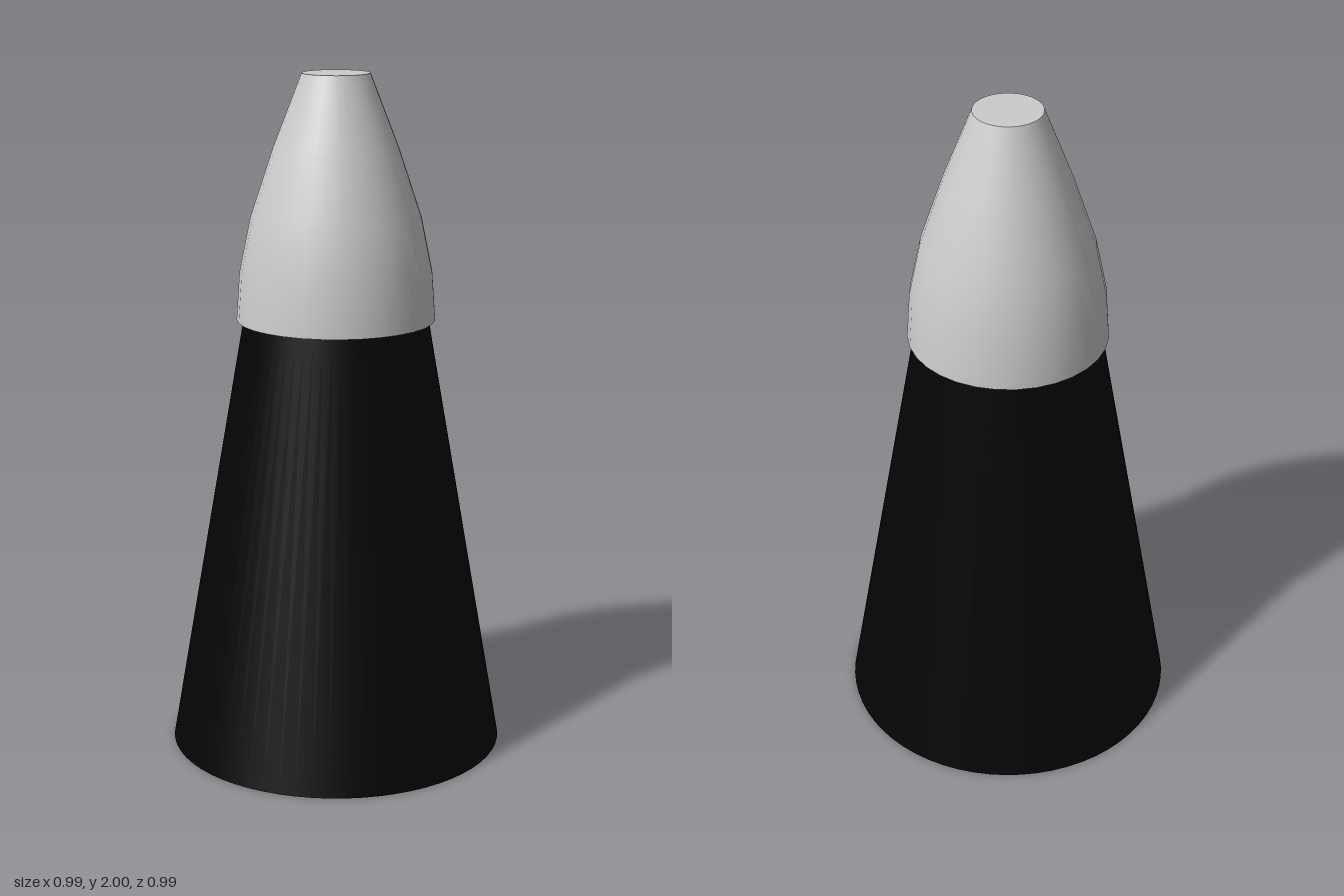
import * as THREE from 'three';

export function createModel() {
  const model = new THREE.Group();
  const black = new THREE.MeshStandardMaterial({ color: 0x050505 });
  const grey = new THREE.MeshStandardMaterial({ color: 0xcccccc });

  const add = (parent, name, geometry, material, y = 0, tilt = 0) => {
    const mesh = new THREE.Mesh(geometry, material);
    mesh.name = name;
    mesh.position.y = y;
    mesh.rotation.x = tilt;
    parent.add(mesh);
  };

  // Tapered body, standing on its wide end
  const seam = 1.29;
  add(model, 'body', new THREE.CylinderGeometry(0.27, 0.495, seam, 64), black, seam / 2);

  // Rounded nose that overhangs the body, with a flat tip
  const nose = new THREE.Group();
  nose.name = 'nose';
  model.add(nose);
  const profile = [[0.29, seam], [0.28, 1.43], [0.247, 1.59], [0.18, 1.79], [0.098, 2]]
    .map(([r, y]) => new THREE.Vector2(r, y));
  add(nose, 'noseShell', new THREE.LatheGeometry(profile, 32), grey);
  add(nose, 'noseTip', new THREE.CircleGeometry(0.098, 32), grey, 2, -Math.PI / 2);
  add(nose, 'noseLip', new THREE.RingGeometry(0.265, 0.29, 32), grey, seam, Math.PI / 2);

  return model;
}
